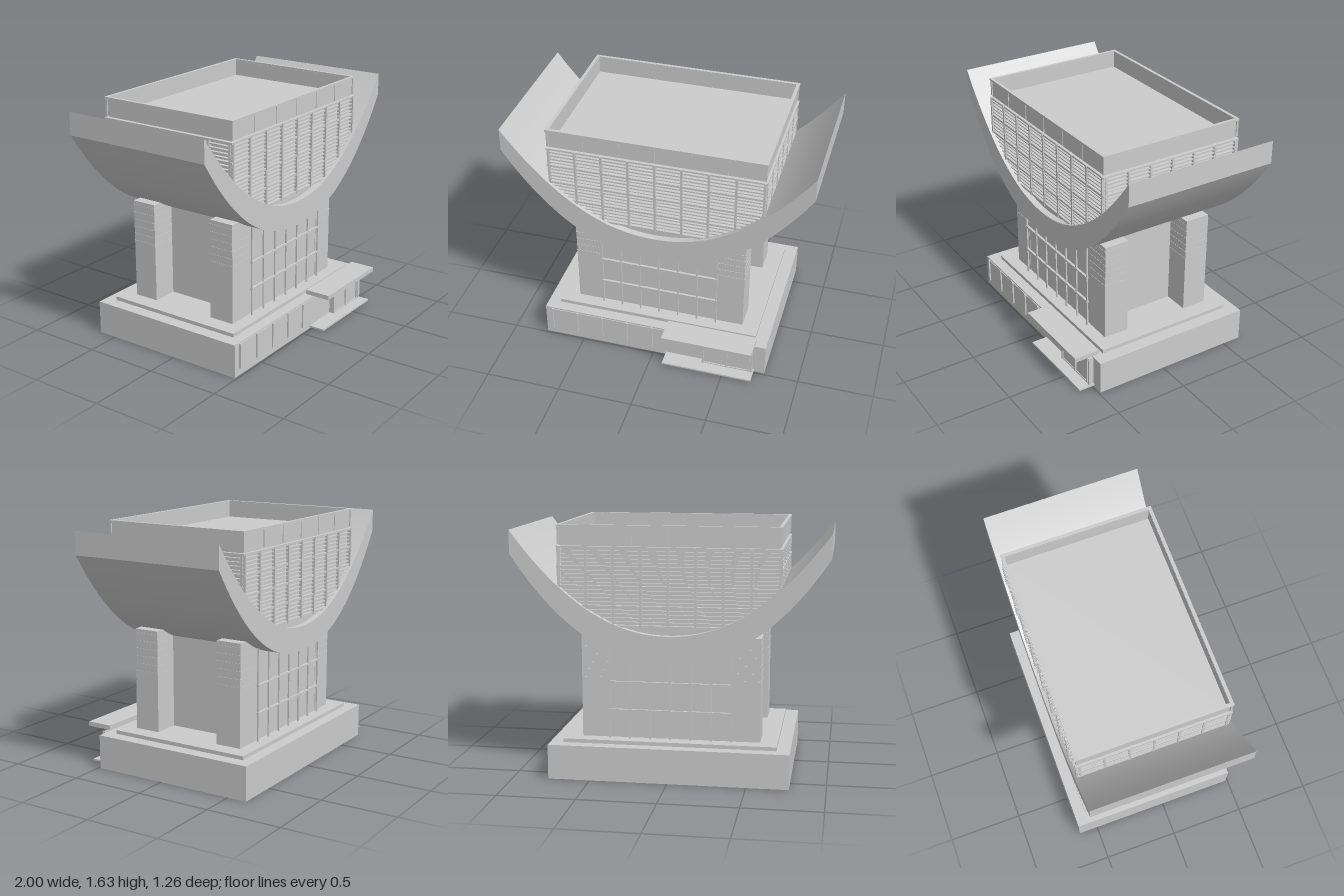
import * as THREE from 'three';
import { toCreasedNormals } from 'three/addons/utils/BufferGeometryUtils.js';

const concrete = new THREE.MeshStandardMaterial({ color: 0xcccccc });
concrete.name = 'paleConcrete';

// Heights of the trough's upper and lower surfaces, and the upper one's half width
const innerY = (x) => 0.94 + 0.65 * Math.pow(Math.abs(x), 2.1);
const outerY = (x) => 0.78 + 0.66 * Math.pow(Math.abs(x), 2.3);
const innerX = (y) => Math.pow(Math.max(0, y - 0.94) / 0.65, 1 / 2.1);

// Points along a curve y = f(x)
function curve(f, x0, x1, n) {
  return Array.from({ length: n + 1 }, (_, i) => {
    const x = x0 + ((x1 - x0) * i) / n;
    return new THREE.Vector2(x, f(x));
  });
}

export function createModel() {
  const root = new THREE.Group();
  root.name = 'building';

  const group = (name) => {
    const g = new THREE.Group();
    g.name = name;
    root.add(g);
    return g;
  };
  // Box given by its limits on each axis
  const box = (parent, name, x0, x1, y0, y1, z0, z1) => {
    const m = new THREE.Mesh(new THREE.BoxGeometry(x1 - x0, y1 - y0, z1 - z0), concrete);
    m.position.set((x0 + x1) / 2, (y0 + y1) / 2, (z0 + z1) / 2);
    m.name = name;
    parent.add(m);
    return m;
  };
  // Profile in x and y drawn out along z
  const prism = (parent, name, points, z0, z1) => {
    const geo = new THREE.ExtrudeGeometry(new THREE.Shape(points), { depth: z1 - z0, bevelEnabled: false });
    geo.translate(0, 0, z0);
    const m = new THREE.Mesh(toCreasedNormals(geo, 0.4), concrete);
    m.name = name;
    parent.add(m);
  };

  // Base and plinth
  box(root, 'base', -0.77, 0.77, 0, 0.225, -0.63, 0.487);
  box(root, 'plinth', -0.685, 0.685, 0.225, 0.25, -0.555, 0.415);

  // Core under the trough
  const under = (x) => outerY(x) + 0.03;
  prism(root, 'core', [new THREE.Vector2(-0.4, 0.25), new THREE.Vector2(0.4, 0.25), ...curve(under, 0.4, -0.4, 20)], -0.465, 0.325);

  // Four piers with fine board marks near the top
  const piers = group('piers');
  for (const s of [-1, 1]) {
    for (const [z0, z1] of [[0.155, 0.328], [-0.467, -0.295]]) {
      const xa = s < 0 ? -0.575 : 0.4;
      box(piers, 'pier', xa, xa + 0.175, 0.25, 0.92, z0, z1);
      for (let y = 0.64; y < 0.91; y += 0.05) {
        box(piers, 'boardMark', xa - 0.002, xa + 0.177, y, y + 0.004, z0 - 0.002, z1 + 0.002);
      }
    }
  }

  // Curtain wall grids on front and back
  for (const [name, z] of [['frontWallGrid', 0.35], ['backWallGrid', -0.487]]) {
    const g = group(name);
    for (let i = -3; i <= 3; i++) {
      const x = i * 0.131;
      box(g, 'mullion', x - 0.005, x + 0.005, 0.25, outerY(x) + 0.02, z - 0.005, z + 0.005);
    }
    for (const y of [0.435, 0.618]) {
      box(g, 'rail', -0.4, 0.4, y - 0.006, y + 0.006, z - 0.008, z + 0.008);
    }
  }

  // Curved trough
  prism(root, 'curvedTrough', [...curve(outerY, -1, 1, 64), ...curve(innerY, 1, -1, 64)], -0.588, 0.447);

  // Upper hall resting in the trough
  const sunk = (x) => innerY(x) - 0.03;
  prism(root, 'upperHall', [...curve(sunk, -0.68, 0.68, 32), new THREE.Vector2(0.68, 1.5), new THREE.Vector2(-0.68, 1.5)], -0.548, 0.402);

  // Sun louvres round the hall, cut off where they meet the trough
  const louvres = group('louvres');
  const slab = (name, y, h, out) => {
    const hx = Math.min(0.69 + out, innerX(y) + 0.015);
    box(louvres, name, -hx, hx, y - h / 2, y + h / 2, -0.555 - out, 0.41 + out);
  };
  for (let row = 0; row < 4; row++) {
    const y0 = 0.995 + row * 0.123;
    slab('rail', y0, 0.014, 0.016);
    for (let i = 1; i < 5; i++) slab('louvre', y0 + i * 0.0246, 0.007, 0.012);
  }
  slab('topRail', 1.487, 0.012, 0.016);
  for (let i = -4; i <= 4; i++) {
    const x = i * 0.1725;
    for (const z of [0.42, -0.565]) {
      box(louvres, 'mullion', x - 0.007, x + 0.007, Math.max(0.985, innerY(x) - 0.02), 1.492, z - 0.01, z + 0.01);
    }
  }
  for (const s of [-1, 1]) {
    for (let i = 0; i <= 6; i++) {
      const z = -0.55 + i * 0.159;
      box(louvres, 'sideMullion', s * 0.695 - 0.01, s * 0.695 + 0.01, 1.22, 1.492, z - 0.007, z + 0.007);
    }
  }

  // Parapet with rim, joints and corner posts
  const parapet = group('parapet');
  const ring = (name, y0, y1, hx, z0, z1, t) => {
    box(parapet, name, -hx, hx, y0, y1, z1 - t, z1);
    box(parapet, name, -hx, hx, y0, y1, z0, z0 + t);
    for (const s of [-1, 1]) {
      const xa = s < 0 ? -hx : hx - t;
      box(parapet, name, xa, xa + t, y0, y1, z0 + t, z1 - t);
    }
  };
  ring('parapetWall', 1.5, 1.615, 0.692, -0.56, 0.415, 0.012);
  ring('rim', 1.613, 1.626, 0.703, -0.57, 0.426, 0.022);
  box(parapet, 'roof', -0.685, 0.685, 1.495, 1.51, -0.552, 0.408);
  for (let i = -3; i <= 3; i++) {
    const x = i * 0.2305;
    for (const z of [0.416, -0.561]) {
      box(parapet, 'joint', x - 0.003, x + 0.003, 1.505, 1.613, z - 0.004, z + 0.004);
    }
  }
  for (const x of [-0.692, 0.692]) {
    for (const z of [0.415, -0.56]) {
      box(parapet, 'cornerPost', x - 0.007, x + 0.007, 1.505, 1.615, z - 0.007, z + 0.007);
    }
  }

  // Ground floor window strip
  const strip = group('windowStrip');
  box(strip, 'glass', -0.72, 0.16, 0.055, 0.215, 0.485, 0.492);
  for (let i = 0; i < 5; i++) {
    const x = -0.72 + i * 0.178;
    box(strip, 'mullion', x - 0.005, x + 0.005, 0.05, 0.22, 0.487, 0.502);
  }

  // Entrance with step and canopy
  const entrance = group('entrance');
  box(entrance, 'vestibule', 0.35, 0.685, 0.022, 0.218, 0.485, 0.515);
  for (const x of [0.355, 0.515, 0.665, 0.685]) {
    box(entrance, 'mullion', x - 0.006, x + 0.006, 0.015, 0.225, 0.505, 0.525);
  }
  for (const y of [0.025, 0.216]) {
    box(entrance, 'rail', 0.35, 0.69, y - 0.006, y + 0.006, 0.505, 0.522);
  }
  box(entrance, 'step', 0.09, 0.7, 0.012, 0.024, 0.49, 0.6);
  box(entrance, 'canopy', 0.095, 0.7, 0.247, 0.277, 0.455, 0.63);

  return root;
}
